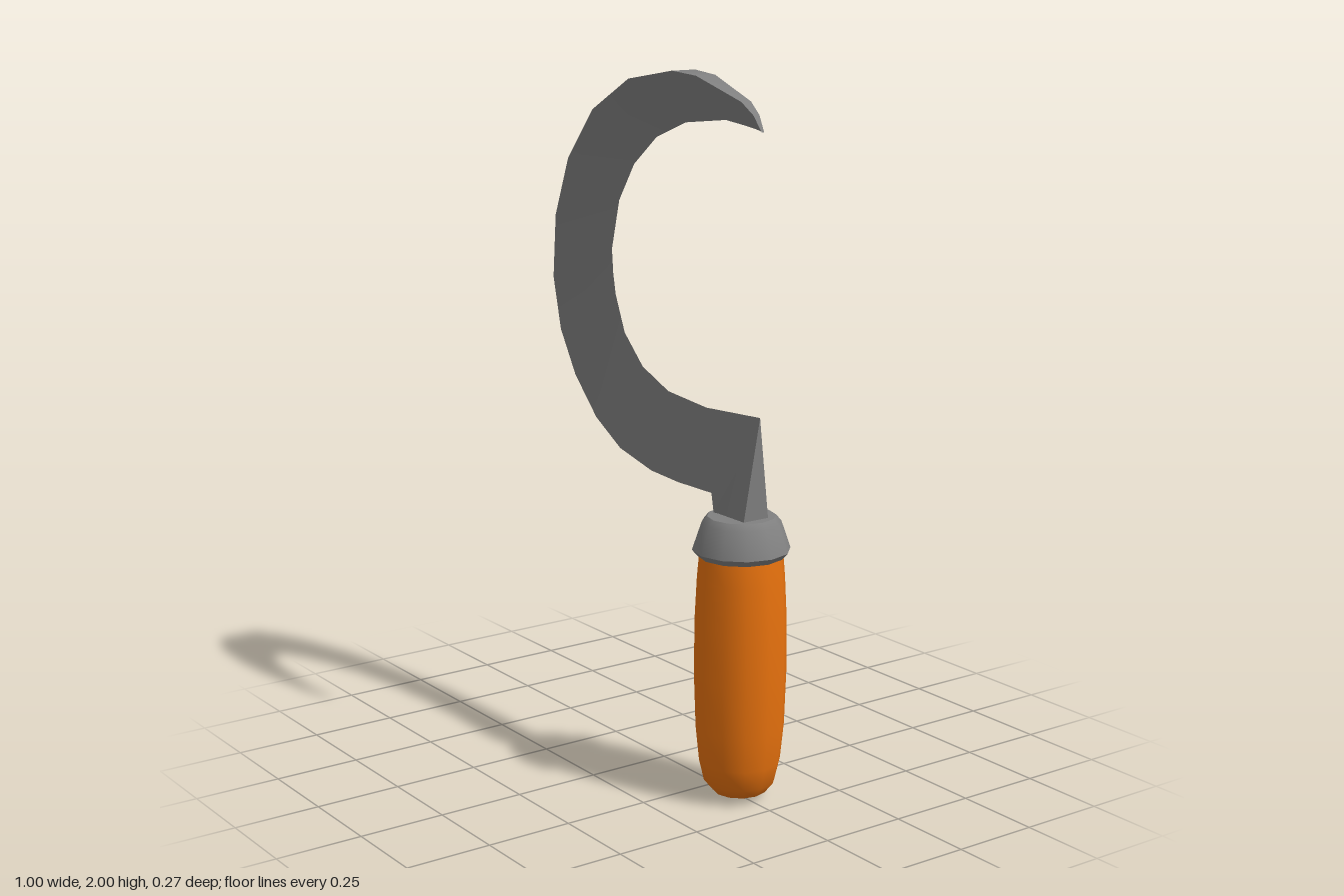
import * as THREE from 'three';
import { toCreasedNormals } from 'three/addons/utils/BufferGeometryUtils.js';

const steel = new THREE.MeshStandardMaterial({ color: 0x808080 });
steel.name = 'steel';
const orange = new THREE.MeshStandardMaterial({ color: 0xe8720e });
orange.name = 'orange grip';

const HANDLE_X = 0.362;
const SPINE = 0.045; // half thickness of the blunt outer edge

// Blade cross-sections: spine x, spine y, cutting edge x, cutting edge y, half thickness
const SECTIONS = [
  [0.425, 0.79, 0.44, 1.1],
  [0.3, 0.79, 0.44, 1.1],
  [0.285, 0.867, 0.44, 1.1],
  [0.13, 0.865, 0.2, 1.085],
  [0, 0.872, 0.02, 1.1],
  [-0.155, 0.907, -0.105, 1.15],
  [-0.278, 0.976, -0.195, 1.235],
  [-0.387, 1.085, -0.24, 1.34],
  [-0.463, 1.21, -0.252, 1.4],
  [-0.5, 1.362, -0.258, 1.47],
  [-0.485, 1.548, -0.22, 1.615],
  [-0.415, 1.722, -0.145, 1.725],
  [-0.287, 1.87, -0.035, 1.81],
  [-0.108, 1.967, 0.1, 1.86],
  [0.09, 2.0, 0.19, 1.87, 0.039],
  [0.19, 1.992, 0.28, 1.88, 0.032],
  [0.368, 1.934, 0.36, 1.872, 0.016],
  [0.412, 1.902, 0.41, 1.866, 0.01],
  [0.44, 1.86, 0.44, 1.86, 0.004],
];

// Wedge section swept along the hook: thick spine, sharp inner edge
function bladeGeometry() {
  const positions = [];
  const index = [];
  for (const [ox, oy, ix, iy, half = SPINE] of SECTIONS) {
    positions.push(ox, oy, half, ox, oy, -half, ix, iy, 0);
  }
  const quad = (a, b, c, d) => index.push(a, b, c, a, c, d);
  for (let s = 0; s < SECTIONS.length - 1; s++) {
    const [f0, b0, e0, f1, b1, e1] = [0, 1, 2, 3, 4, 5].map((k) => s * 3 + k);
    if (s < 2) {
      // The tang fans out from the heel corner
      index.push(f0, e0, f1, b0, b1, e0);
    } else {
      quad(f0, e0, e1, f1);
      quad(b0, b1, e1, e0);
    }
    quad(f0, f1, b1, b0);
  }
  index.push(0, 1, 2); // heel face
  const geometry = new THREE.BufferGeometry();
  geometry.setAttribute('position', new THREE.Float32BufferAttribute(positions, 3));
  geometry.setIndex(index);
  return toCreasedNormals(geometry, 0.55);
}

function turned(name, profile, material, crease) {
  const points = profile.map(([r, y]) => new THREE.Vector2(r, y));
  const mesh = new THREE.Mesh(toCreasedNormals(new THREE.LatheGeometry(points, 12), crease), material);
  mesh.name = name;
  mesh.position.x = HANDLE_X;
  return mesh;
}

export function createModel() {
  const group = new THREE.Group();
  group.name = 'sickle';

  const blade = new THREE.Mesh(bladeGeometry(), steel);
  blade.name = 'blade';
  group.add(blade);

  // Metal ferrule between the tang and the grip
  group.add(turned('ferrule', [
    [0, 0.702], [0.12, 0.702], [0.136, 0.72], [0.11, 0.797], [0.095, 0.814], [0, 0.814],
  ], steel, 0.6));

  // Rounded grip
  group.add(turned('handle', [
    [0, 0], [0.035, 0.004], [0.075, 0.02], [0.1, 0.05], [0.114, 0.11], [0.124, 0.21],
    [0.129, 0.36], [0.128, 0.52], [0.122, 0.64], [0.116, 0.71],
  ], orange, 1.0));

  return group;
}
